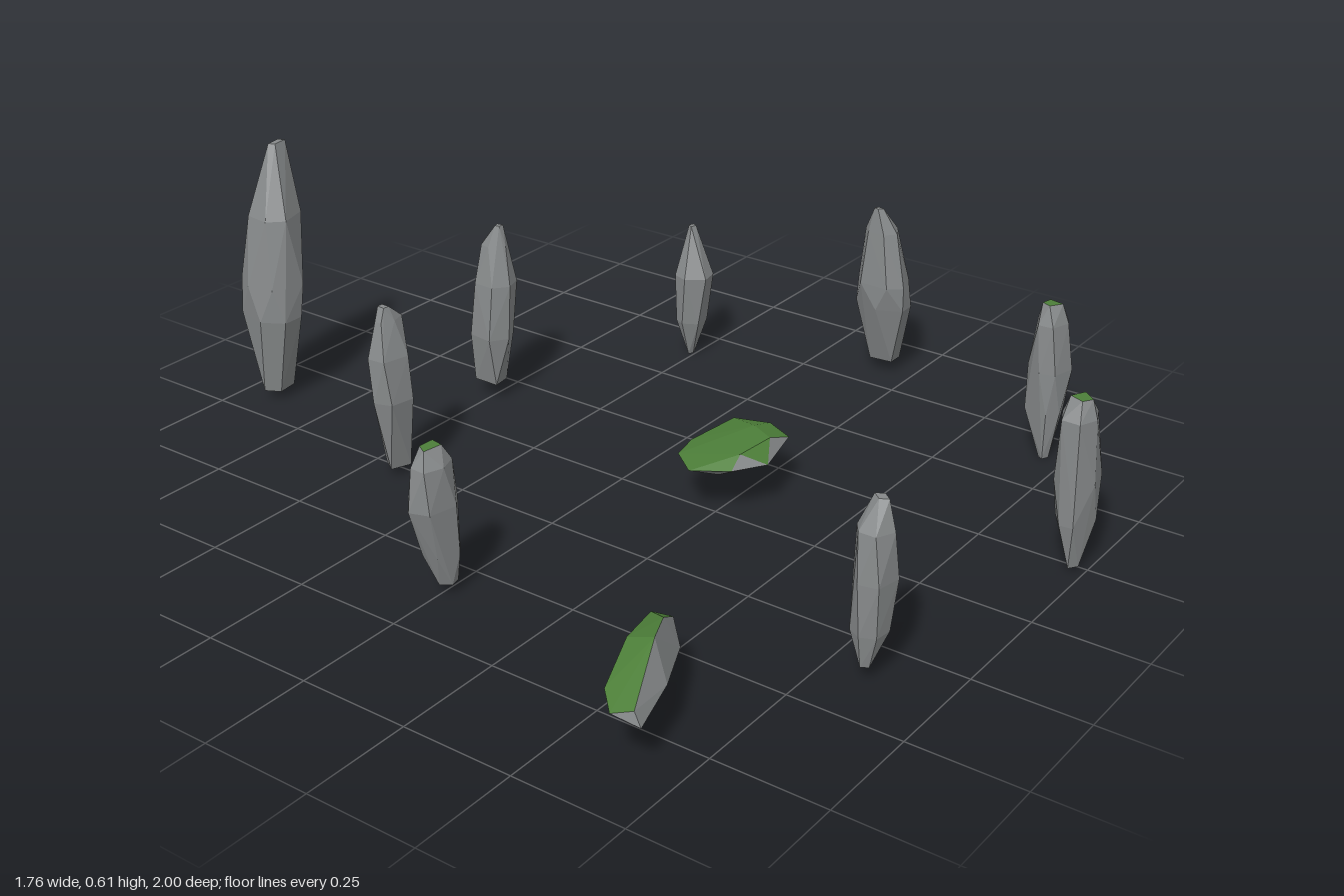
import * as THREE from 'three';
import { ConvexGeometry } from 'three/addons/geometries/ConvexGeometry.js';

const stone = new THREE.MeshStandardMaterial({ name: 'greyStone', color: 0x86898a });
const moss = new THREE.MeshStandardMaterial({ name: 'greenMoss', color: 0x4d7f39 });

// Small repeatable random generator
function seeded(seed) {
  let s = seed * 7919 + 17;
  return () => (s = (s * 16807) % 2147483647) / 2147483647;
}

// Faceted hull; faces pointing up more than mossLimit are mossy
function rock(name, points, mossLimit) {
  const hull = new ConvexGeometry(points);
  const pos = hull.attributes.position;
  const nor = hull.attributes.normal;
  const faces = { grey: [], green: [] };
  for (let i = 0; i < pos.count; i += 3) {
    const list = nor.getY(i) > mossLimit ? faces.green : faces.grey;
    for (let k = i; k < i + 3; k++) list.push(pos.getX(k), pos.getY(k), pos.getZ(k));
  }
  const geo = new THREE.BufferGeometry();
  geo.setAttribute('position', new THREE.Float32BufferAttribute([...faces.grey, ...faces.green], 3));
  geo.addGroup(0, faces.grey.length / 3, 0);
  geo.addGroup(faces.grey.length / 3, faces.green.length / 3, 1);
  geo.computeVertexNormals();
  const mesh = new THREE.Mesh(geo, [stone, moss]);
  mesh.name = name;
  return mesh;
}

// Irregular polygon stretched to fill one cross-section [y, xMin, xMax, zMin, zMax]
function ringPoints([y, x0, x1, z0, z1], sides, random) {
  const phase = random() * Math.PI * 2;
  const raw = [];
  for (let i = 0; i < sides; i++) {
    const a = phase + ((i + (random() - 0.5) * 0.45) / sides) * Math.PI * 2;
    raw.push([Math.cos(a), Math.sin(a)]);
  }
  const fit = (axis, lo, hi) => {
    const v = raw.map((p) => p[axis]);
    const min = Math.min(...v), max = Math.max(...v);
    return v.map((t) => lo + ((t - min) / (max - min)) * (hi - lo));
  };
  const xs = fit(0, x0, x1), zs = fit(1, z0, z1);
  return raw.map((_, i) => new THREE.Vector3(xs[i], y, zs[i]));
}

export function createModel() {
  const group = new THREE.Group();
  group.name = 'stoneCircle';
  let count = 0;

  const standing = (name, mossLimit, ...rings) => {
    const random = seeded(++count);
    const points = rings.flatMap((r, i) =>
      ringPoints(r, i === 0 || i === rings.length - 1 ? 4 : 6, random));
    group.add(rock(name, points, mossLimit));
  };
  const BARE = 2, MOSSY = 0.75;

  // Standing stones, cross-sections from foot to tip
  standing('tallBackStone', BARE,
    [0.03, -0.18, -0.11, -0.935, -0.89], [0.22, -0.20, -0.085, -0.99, -0.85],
    [0.30, -0.195, -0.07, -1.0, -0.85], [0.46, -0.165, -0.05, -0.985, -0.865],
    [0.622, -0.095, -0.05, -0.95, -0.93]);
  standing('backLeftStone', BARE,
    [0.05, 0.14, 0.185, -0.54, -0.475], [0.17, 0.12, 0.205, -0.555, -0.45],
    [0.3, 0.135, 0.22, -0.555, -0.45], [0.39, 0.155, 0.205, -0.54, -0.47],
    [0.44, 0.175, 0.19, -0.5, -0.485]);
  standing('backRightStone', BARE,
    [0.03, -0.3, -0.25, -0.45, -0.395], [0.2, -0.33, -0.225, -0.46, -0.375],
    [0.3, -0.325, -0.225, -0.46, -0.385], [0.38, -0.3, -0.235, -0.45, -0.41],
    [0.41, -0.285, -0.27, -0.445, -0.425]);
  standing('leftBackStone', BARE,
    [0.01, 0.63, 0.655, -0.27, -0.255], [0.1, 0.605, 0.68, -0.295, -0.23],
    [0.22, 0.6, 0.69, -0.305, -0.215], [0.34, 0.65, 0.67, -0.285, -0.27]);
  standing('rightStone', MOSSY,
    [0.03, -0.61, -0.57, -0.025, 0.02], [0.1, -0.63, -0.55, -0.055, 0.03],
    [0.21, -0.665, -0.55, -0.065, 0.03], [0.3, -0.65, -0.565, -0.045, 0.02],
    [0.335, -0.63, -0.58, -0.035, -0.005]);
  standing('leftStone', BARE,
    [0.04, 0.825, 0.87, 0.14, 0.2], [0.19, 0.78, 0.878, 0.105, 0.235],
    [0.25, 0.78, 0.875, 0.1, 0.235], [0.38, 0.79, 0.855, 0.12, 0.205],
    [0.44, 0.795, 0.81, 0.15, 0.17]);
  standing('leftFrontStone', MOSSY,
    [0.01, 0.64, 0.665, 0.69, 0.71], [0.12, 0.635, 0.71, 0.64, 0.725],
    [0.22, 0.63, 0.725, 0.635, 0.73], [0.33, 0.64, 0.715, 0.645, 0.715],
    [0.375, 0.655, 0.69, 0.66, 0.7]);
  standing('frontLeftStone', MOSSY,
    [0.02, 0.215, 0.27, 0.955, 0.985], [0.12, 0.2, 0.295, 0.92, 1.0],
    [0.21, 0.2, 0.308, 0.91, 1.0], [0.35, 0.205, 0.29, 0.915, 0.99],
    [0.39, 0.23, 0.275, 0.93, 0.975]);
  standing('frontRightStone', BARE,
    [0.04, -0.38, -0.335, 0.82, 0.85], [0.11, -0.39, -0.315, 0.8, 0.87],
    [0.22, -0.39, -0.3, 0.795, 0.877], [0.32, -0.375, -0.305, 0.795, 0.87],
    [0.38, -0.34, -0.315, 0.815, 0.85]);

  // Flat stones lying on their sides, moss on top
  const lying = (name, mossLimit, corners) =>
    group.add(rock(name, corners.map((c) => new THREE.Vector3(...c)), mossLimit));
  lying('centreSlab', 0.72, [
    [-0.06, 0.125, 0.22], [0, 0.12, 0.15], [0.08, 0.115, 0.13], [0.215, 0.12, 0.15],
    [0.225, 0.13, 0.24], [0.2, 0.125, 0.305], [0.07, 0.12, 0.335], [-0.01, 0.125, 0.295],
    [0.03, 0.148, 0.29], [0.13, 0.15, 0.3], [0.16, 0.15, 0.24],
    [0.01, 0.095, 0.25], [0.07, 0.09, 0.19], [0.19, 0.09, 0.2], [0.17, 0.09, 0.28],
  ]);
  lying('fallenStone', 0.7, [
    [-0.885, 0.13, 0.63], [-0.86, 0.105, 0.68], [-0.86, 0.135, 0.665], [-0.84, 0.14, 0.585],
    [-0.71, 0.185, 0.6], [-0.72, 0.17, 0.545], [-0.62, 0.165, 0.555], [-0.59, 0.145, 0.505],
    [-0.56, 0.13, 0.535], [-0.6, 0.1, 0.58], [-0.74, 0.12, 0.65], [-0.74, 0.075, 0.62],
    [-0.61, 0.08, 0.55], [-0.72, 0.09, 0.535], [-0.66, 0.12, 0.505],
  ]);
  return group;
}
